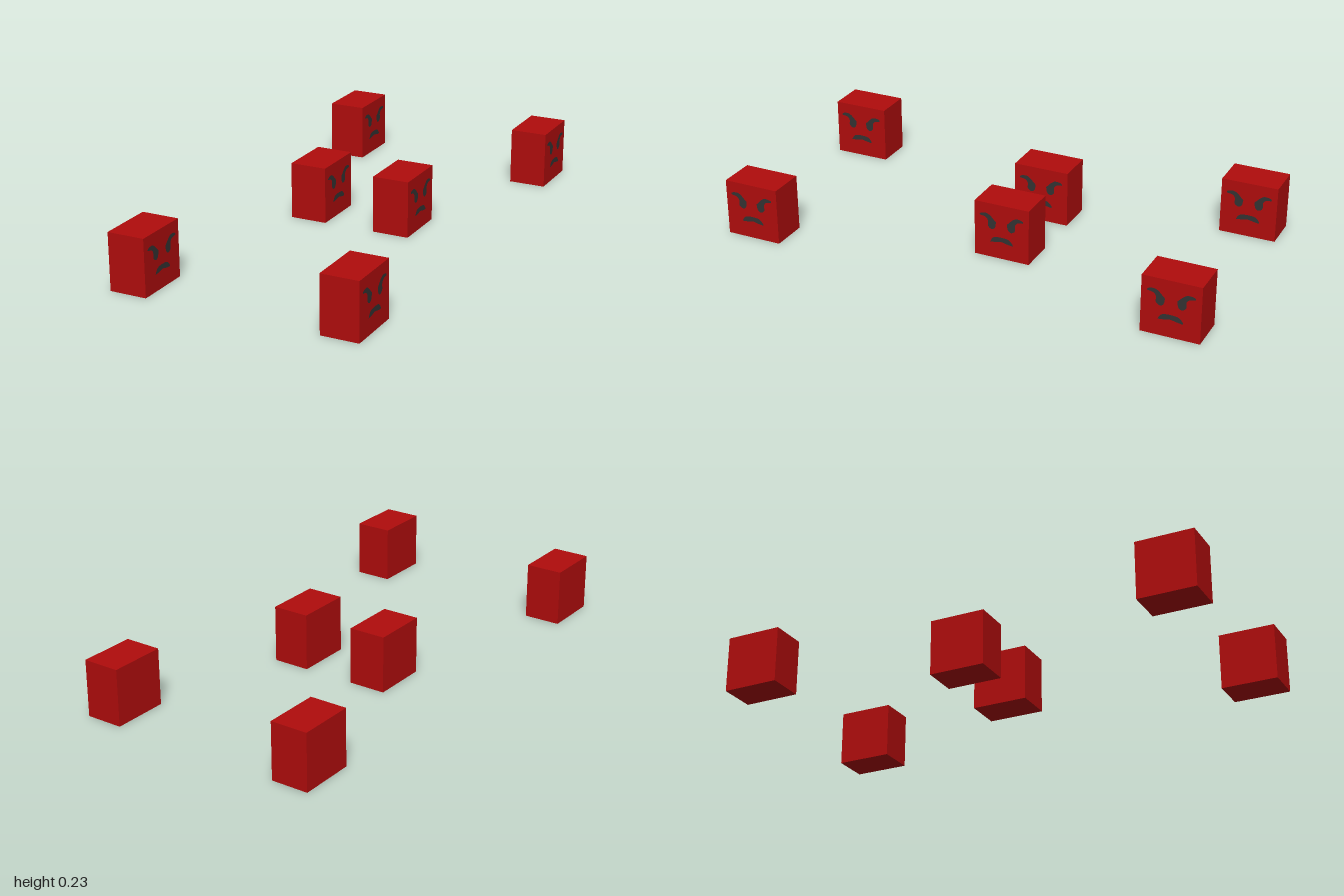
import * as THREE from 'three';

const W = 0.153, H = 0.232, D = 0.232;

// Closed smooth outline, given in hundredths of the block height from its centre
function outline(points, mirror = 1) {
  const s = H / 100;
  const curve = new THREE.SplineCurve(points.concat([points[0]]).map(([x, y]) => new THREE.Vector2(x * s * mirror, y * s)));
  return new THREE.ShapeGeometry(new THREE.Shape(curve.getPoints(40)));
}

export function createModel() {
  const red = new THREE.MeshStandardMaterial({ color: 0xb00c0c });
  red.name = 'red';
  const charcoal = new THREE.MeshStandardMaterial({ color: 0x333333 });
  charcoal.name = 'charcoal';

  const blockGeo = new THREE.BoxGeometry(W, H, D);
  // Eye merged with its slanted brow
  const eye = [[10, 17], [12, 7], [18, 3], [25, 8], [25, 18], [30, 24], [40, 26], [37, 30], [27, 31], [20, 27], [15, 22]];
  // Frowning mouth
  const mouth = [[-21, -21], [-16, -13], [-8, -10], [8, -10], [16, -13], [21, -21], [10, -20], [0, -18], [-10, -20]];
  const features = [['leftEye', outline(eye, -1)], ['rightEye', outline(eye)], ['mouth', outline(mouth)]];

  const model = new THREE.Group();
  model.name = 'angryBlocks';

  // Four corner blocks and a middle pair, every face looking toward +x
  const places = [
    [-0.433, 0.884], [0.432, 0.884], [-0.433, -0.884], [0.432, -0.884],
    [-0.203, -0.083], [0.163, -0.083],
  ];
  places.forEach(([x, z], i) => {
    const block = new THREE.Group();
    block.name = 'angryBlock' + (i + 1);
    block.position.set(x, H / 2, z);
    const body = new THREE.Mesh(blockGeo, red);
    body.name = 'body';
    block.add(body);
    for (const [name, geo] of features) {
      const mesh = new THREE.Mesh(geo, charcoal);
      mesh.name = name;
      mesh.rotation.y = Math.PI / 2;
      mesh.position.x = W / 2 + 0.0015;
      block.add(mesh);
    }
    model.add(block);
  });
  return model;
}
